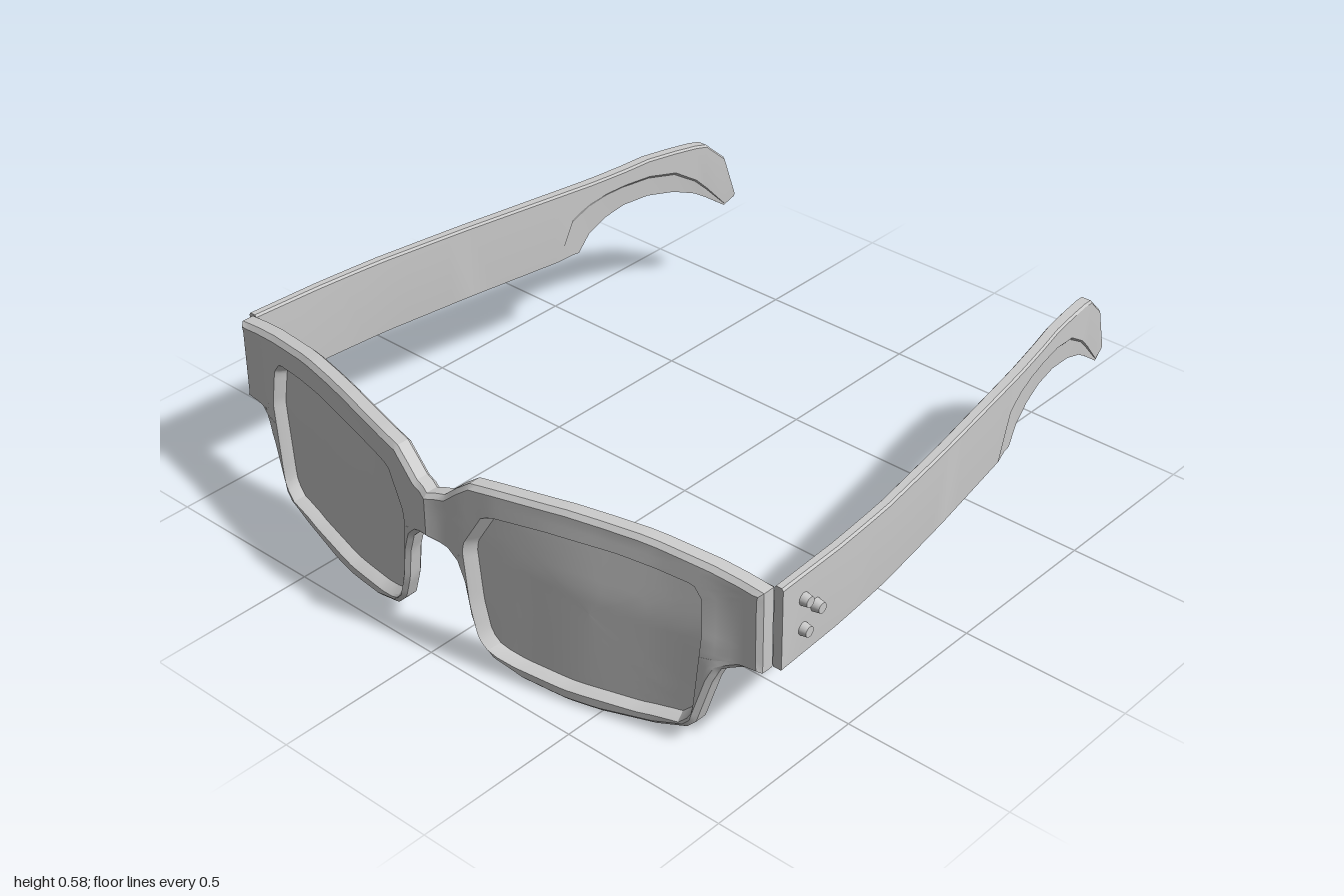
import * as THREE from 'three';
import { toCreasedNormals } from 'three/addons/utils/BufferGeometryUtils.js';

const grey = new THREE.MeshStandardMaterial({ color: 0xcccccc });
const greyThin = new THREE.MeshStandardMaterial({ color: 0xcccccc, side: THREE.DoubleSide });
const { smoothstep, clamp, lerp } = THREE.MathUtils;

// Linear lookup in a table of rows sorted by falling or rising first column
function lookup(rows, t, col = 1) {
  const up = rows[rows.length - 1][0] > rows[0][0];
  for (let i = 0; i < rows.length - 1; i++) {
    const a = rows[i], b = rows[i + 1];
    if (up ? t <= b[0] : t >= b[0]) return lerp(a[col], b[col], clamp((t - a[0]) / (b[0] - a[0]), 0, 1));
  }
  return rows[rows.length - 1][col];
}

// Split the sides of a closed outline so that it bends smoothly
function subdivide(points, step) {
  return points.flatMap((p, i) => {
    const q = points[(i + 1) % points.length];
    const n = Math.max(1, Math.round(Math.hypot(q[0] - p[0], q[1] - p[1]) / step));
    return Array.from({ length: n }, (_, k) => [lerp(p[0], q[0], k / n), lerp(p[1], q[1], k / n)]);
  });
}

// Skin closed cross-sections; the row of sections is either a ring or capped at both ends
function loft(sections, side, ring, crease) {
  const n = sections[0].length, count = sections.length, pos = [], idx = [];
  for (const section of sections) for (const [x, y, z] of section) pos.push(side * x, y, z);
  const tri = (a, b, c) => side > 0 ? idx.push(a, b, c) : idx.push(a, c, b);
  for (let s = 0; s < (ring ? count : count - 1); s++)
    for (let i = 0; i < n; i++) {
      const j = (i + 1) % n, a = s * n, c = (s + 1) % count * n;
      tri(a + i, a + j, c + i);
      tri(a + j, c + j, c + i);
    }
  if (!ring) {
    const last = (count - 1) * n;
    for (let i = 1; i < n - 1; i++) {
      tri(0, i + 1, i);
      tri(last, last + i, last + i + 1);
    }
  }
  const g = new THREE.BufferGeometry();
  g.setAttribute('position', new THREE.Float32BufferAttribute(pos, 3));
  g.setIndex(idx);
  return new THREE.Mesh(toCreasedNormals(g, crease), grey);
}

// Wrap of the front as seen from above: x, z
const wrap = [[0, 0.962], [0.03, 0.95], [0.1, 0.94], [0.2, 0.92], [0.35, 0.88], [0.5, 0.838],
  [0.65, 0.8], [0.8, 0.772], [0.88, 0.763], [0.95, 0.76]];

// The lower rim bulges a little further forward than the brow
function wrapZ(x, y) {
  const bulge = 0.02 * clamp((0.55 - y) / 0.2, 0, 1) * smoothstep(x, 0.15, 0.5) * (1 - smoothstep(x, 0.8, 0.87));
  return lookup(wrap, x) + bulge;
}

// Left half of the frame outline, from the middle of the brow round to the middle of the bridge
const halfFrame = [[0, 0.5], [0.05, 0.51], [0.09, 0.545], [0.13, 0.574], [0.2, 0.58], [0.4, 0.584], [0.6, 0.577],
  [0.8, 0.557], [0.945, 0.54], [0.945, 0.3], [0.9, 0.297], [0.83, 0.265], [0.81, 0.22], [0.765, 0.075],
  [0.74, 0.05], [0.65, 0.022], [0.5, 0.004], [0.4, 0.002], [0.27, 0.014], [0.18, 0.045], [0.14, 0.085],
  [0.115, 0.16], [0.1, 0.26], [0.08, 0.32], [0.05, 0.35], [0, 0.362]];

// Front edge of the lens opening
const opening = [[0.17, 0.49], [0.2, 0.5], [0.35, 0.508], [0.55, 0.508], [0.755, 0.493], [0.78, 0.46],
  [0.788, 0.36], [0.762, 0.11], [0.735, 0.065], [0.6, 0.046], [0.4, 0.038], [0.25, 0.048], [0.175, 0.065],
  [0.143, 0.1], [0.122, 0.2], [0.108, 0.36], [0.112, 0.39]];
const centre = [0.45, 0.28];
const fromCentre = ([x, y], k) => [lerp(centre[0], x, k), lerp(centre[1], y, k)];

// Point of the opening on the ray from the lens centre towards p
function openingTowards(p) {
  const dx = p[0] - centre[0], dy = p[1] - centre[1];
  let best = Infinity;
  opening.forEach((a, i) => {
    const b = opening[(i + 1) % opening.length];
    const ex = b[0] - a[0], ey = b[1] - a[1], ax = a[0] - centre[0], ay = a[1] - centre[1];
    const det = ex * dy - dx * ey;
    const k = (ex * ay - ax * ey) / det, u = (dx * ay - dy * ax) / det;
    if (k > 0 && u >= -1e-6 && u <= 1 + 1e-6) best = Math.min(best, k);
  });
  return fromCentre(p, best);
}

// Half of the frame: a bevelled rim section carried round the lens
function makeFrameHalf(side) {
  const rim = subdivide(halfFrame, 0.025), bevel = 0.013;
  const sections = rim.map((p, i) => {
    const prev = rim[(i + rim.length - 1) % rim.length], next = rim[(i + 1) % rim.length];
    const tx = next[0] - prev[0], ty = next[1] - prev[1], len = Math.hypot(tx, ty);
    let inset = [p[0] + bevel * ty / len, p[1] - bevel * tx / len];
    // Points on the centre line stay there, so that both halves meet
    if (p[0] === 0) inset = [0, p[1] + (i === 0 ? -bevel : prev[0] > 0 ? bevel : 0)];
    const hole = openingTowards(p), back = fromCentre(hole, 0.965);
    const across = (to, k) => [lerp(inset[0], to[0], k), lerp(inset[1], to[1], k)];
    const steps = [0, 0.25, 0.5, 0.75, 1];
    return [
      [p, -0.018], [p, 0.018],
      ...steps.map(k => [across(hole, k), 0.03]),
      [fromCentre(hole, 0.985), 0.022], [fromCentre(hole, 0.95), -0.008],
      ...steps.map(k => [across(back, 1 - k), -0.03]),
    ].map(([[x, y], z]) => [x, y, wrapZ(x, y) + z]);
  });
  return loft(sections, side, true, 0.4);
}

// Lens as concentric rings, bent with the frame
function makeLens(side) {
  const rim = subdivide(opening, 0.045), rings = 6, n = rim.length, pos = [], idx = [];
  for (let r = 0; r <= rings; r++)
    for (const p of rim) {
      const [x, y] = fromCentre(p, 0.96 * r / rings);
      pos.push(side * x, y, wrapZ(x, y) - 0.005);
    }
  const tri = (a, b, c) => side > 0 ? idx.push(a, b, c) : idx.push(a, c, b);
  for (let r = 0; r < rings; r++)
    for (let i = 0; i < n; i++) {
      const a = r * n + i, b = r * n + (i + 1) % n;
      tri(a, b, a + n);
      tri(b, b + n, a + n);
    }
  // The innermost ring is a single point, so its first triangles vanish
  const g = new THREE.BufferGeometry();
  g.setAttribute('position', new THREE.Float32BufferAttribute(pos, 3));
  g.setIndex(idx);
  g.computeVertexNormals();
  return new THREE.Mesh(g, greyThin);
}

// Temple side profile: z, top, start of the thinned lower edge, bottom
const profile = [[0.735, 0.54, 0.3, 0.295], [-0.33, 0.538, 0.315, 0.31], [-0.385, 0.538, 0.44, 0.31],
  [-0.41, 0.538, 0.455, 0.31], [-0.45, 0.538, 0.472, 0.365], [-0.51, 0.54, 0.485, 0.4],
  [-0.58, 0.543, 0.492, 0.42], [-0.67, 0.55, 0.492, 0.422], [-0.77, 0.545, 0.472, 0.402],
  [-0.85, 0.538, 0.42, 0.37], [-0.89, 0.53, 0.38, 0.345], [-0.96, 0.465, 0.302, 0.295], [-1, 0.335, 0.32, 0.315]];
// Temple centre line from above: z, x
const templeLine = [[0.735, 0.954], [0.5, 0.943], [0.3, 0.925], [0, 0.88], [-0.2, 0.845], [-0.4, 0.81],
  [-0.7, 0.755], [-1, 0.7]];

function makeTemple(side) {
  const zs = Array.from({ length: 15 }, (_, i) => 0.735 - i * 0.075);
  zs.push(...profile.slice(1).map(r => r[0]));
  const sections = zs.map(z => {
    const [top, mid, low] = [1, 2, 3].map(c => lookup(profile, z, c));
    const x = lookup(templeLine, z), t = 0.014 + 0.006 * (0.735 - z) / 1.735;
    // The underside of the ear hook steps in on both faces
    const cut = Math.min(1, (mid - low) / 0.04);
    const half = [[t - 0.005, top], [t, top - 0.007], [t, mid],
      [t - 0.007 * cut, lerp(mid, low, 0.12)], [t - 0.01 * cut, low]];
    return [...half, ...half.map(([dx, y]) => [-dx, y]).reverse()].map(([dx, y]) => [x + dx, y, z]);
  });
  return loft(sections, side, false, 0.3);
}

export function createModel() {
  const model = new THREE.Group();
  const add = (mesh, name, x = 0, y = 0, z = 0) => {
    mesh.name = name;
    mesh.position.set(x, y, z);
    model.add(mesh);
  };

  for (const side of [1, -1]) {
    const label = side > 0 ? 'left' : 'right';
    add(makeFrameHalf(side), label + 'Frame');
    add(makeLens(side), label + 'Lens');
    add(makeTemple(side), label + 'Temple');
    // Three rivets on the outside of each temple
    [[0.465, 0.652], [0.375, 0.652], [0.42, 0.604]].forEach(([y, z], i) => {
      const rivet = new THREE.Mesh(new THREE.CylinderGeometry(0.015, 0.019, 0.026, 16), grey);
      rivet.rotation.z = -side * Math.PI / 2;
      add(rivet, label + 'Rivet' + (i + 1), side * 0.973, y, z);
    });
  }

  // Small hinge behind the left end of the frame
  add(new THREE.Mesh(new THREE.BoxGeometry(0.03, 0.09, 0.03), grey), 'hingePlate', 0.84, 0.45, 0.748);
  add(new THREE.Mesh(new THREE.BoxGeometry(0.05, 0.02, 0.03), grey), 'hingePin', 0.76, 0.515, 0.755);
  return model;
}
